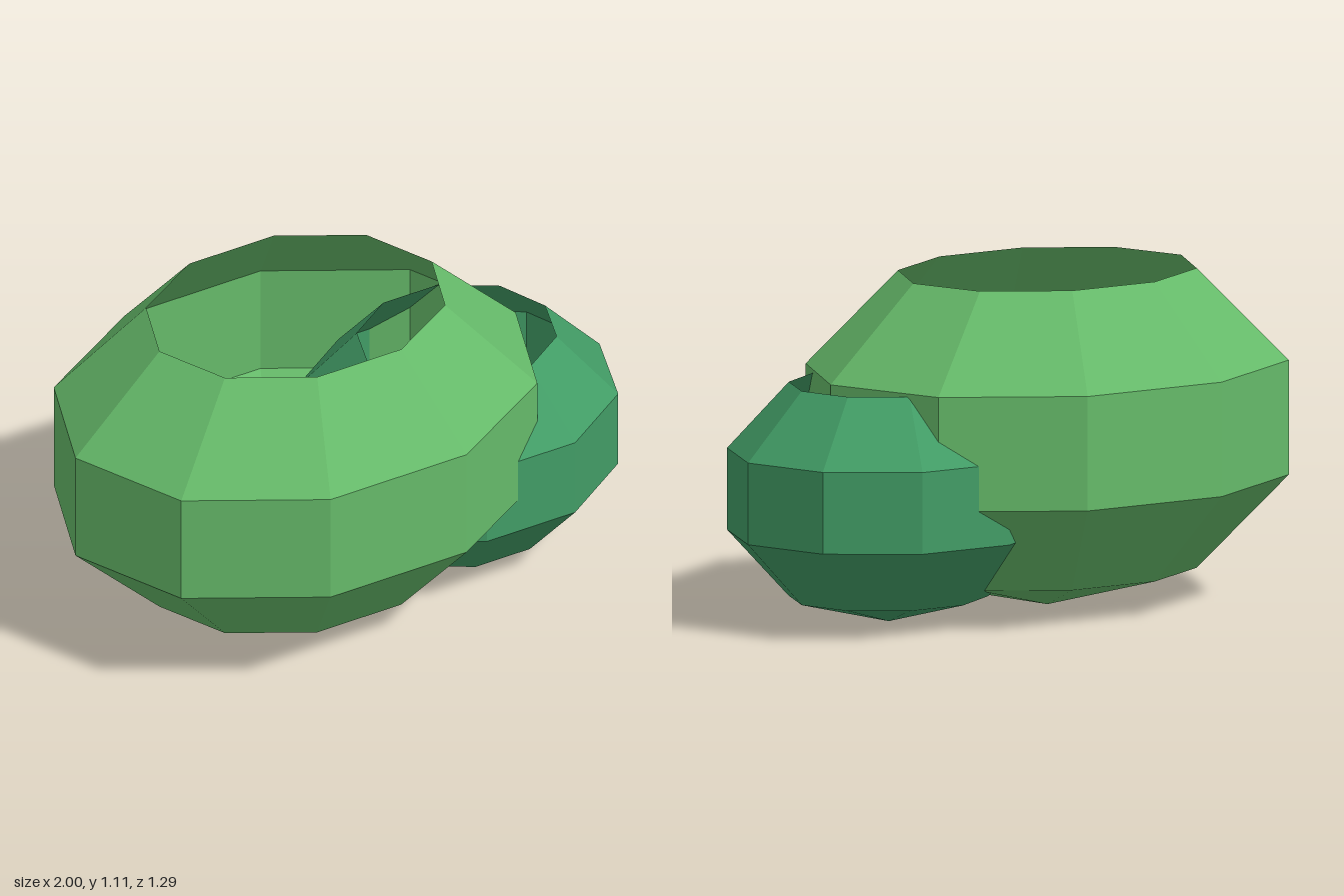
import * as THREE from 'three';

// Open-topped faceted bowl: a coarse sphere whose top cap is left off
function bowl(name, color, x, rx, ry, rz, y) {
  const geometry = new THREE.SphereGeometry(1, 10, 4, 0, Math.PI * 2, Math.PI / 5, Math.PI * 4 / 5);
  geometry.scale(rx, ry, rz);
  const material = new THREE.MeshStandardMaterial({ color, flatShading: true, side: THREE.DoubleSide });
  const mesh = new THREE.Mesh(geometry, material);
  mesh.name = name;
  mesh.position.set(x, y, 0);
  return mesh;
}

export function createModel() {
  const group = new THREE.Group();
  group.name = 'bowls';
  // Large light bowl, with the smaller bluish one pushed into its side
  group.add(bowl('largeBowl', 0x66bb6a, -0.16, 0.883, 0.612, 0.714, 0.612));
  group.add(bowl('smallBowl', 0x429d66, 0.455, 0.573, 0.437, 0.515, 0.437));
  return group;
}
